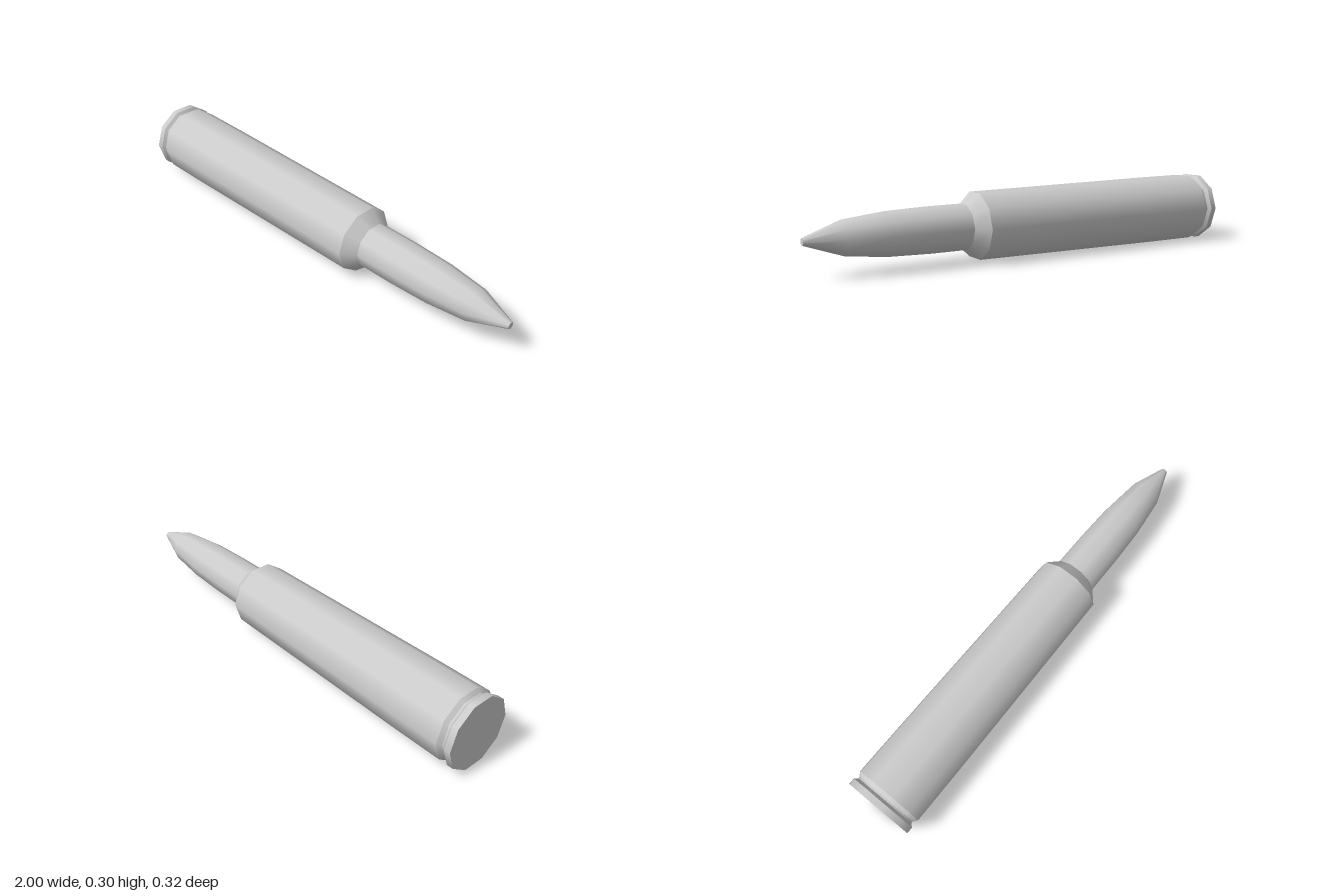
import * as THREE from 'three';

const SIDES = 10;
const AXIS_Y = 0.1515;

export function createModel() {
  const group = new THREE.Group();
  group.name = 'cartridge';
  const metal = new THREE.MeshStandardMaterial({ color: 0xcccccc });
  metal.name = 'plain grey metal';

  // Turned section along x; points are [x, radius]. Separate sections keep their shared edge sharp.
  function turned(name, points) {
    const profile = points.map(([x, r]) => new THREE.Vector2(r, x));
    const geometry = new THREE.LatheGeometry(profile, SIDES);
    geometry.rotateZ(-Math.PI / 2);
    const mesh = new THREE.Mesh(geometry, metal);
    mesh.name = name;
    mesh.position.y = AXIS_Y;
    group.add(mesh);
  }

  // Case head: base, rim and extractor groove
  turned('caseBase', [[-1, 0], [-1, 0.159]]);
  turned('rim', [[-1, 0.159], [-0.972, 0.159]]);
  turned('grooveRear', [[-0.972, 0.159], [-0.96, 0.145]]);
  turned('grooveFloor', [[-0.96, 0.145], [-0.952, 0.145]]);
  turned('grooveFront', [[-0.952, 0.145], [-0.935, 0.159]]);

  // Case body and shoulder
  turned('caseBody', [[-0.935, 0.159], [-0.7, 0.158], [0.255, 0.147]]);
  turned('shoulder', [[0.255, 0.147], [0.31, 0.099]]);

  // Neck flowing into the pointed bullet, with a small flat tip
  turned('bullet', [[0.31, 0.099], [0.48, 0.098], [0.66, 0.092], [0.84, 0.072], [1, 0.015]]);
  turned('bulletTip', [[1, 0.015], [1, 0]]);

  return group;
}
